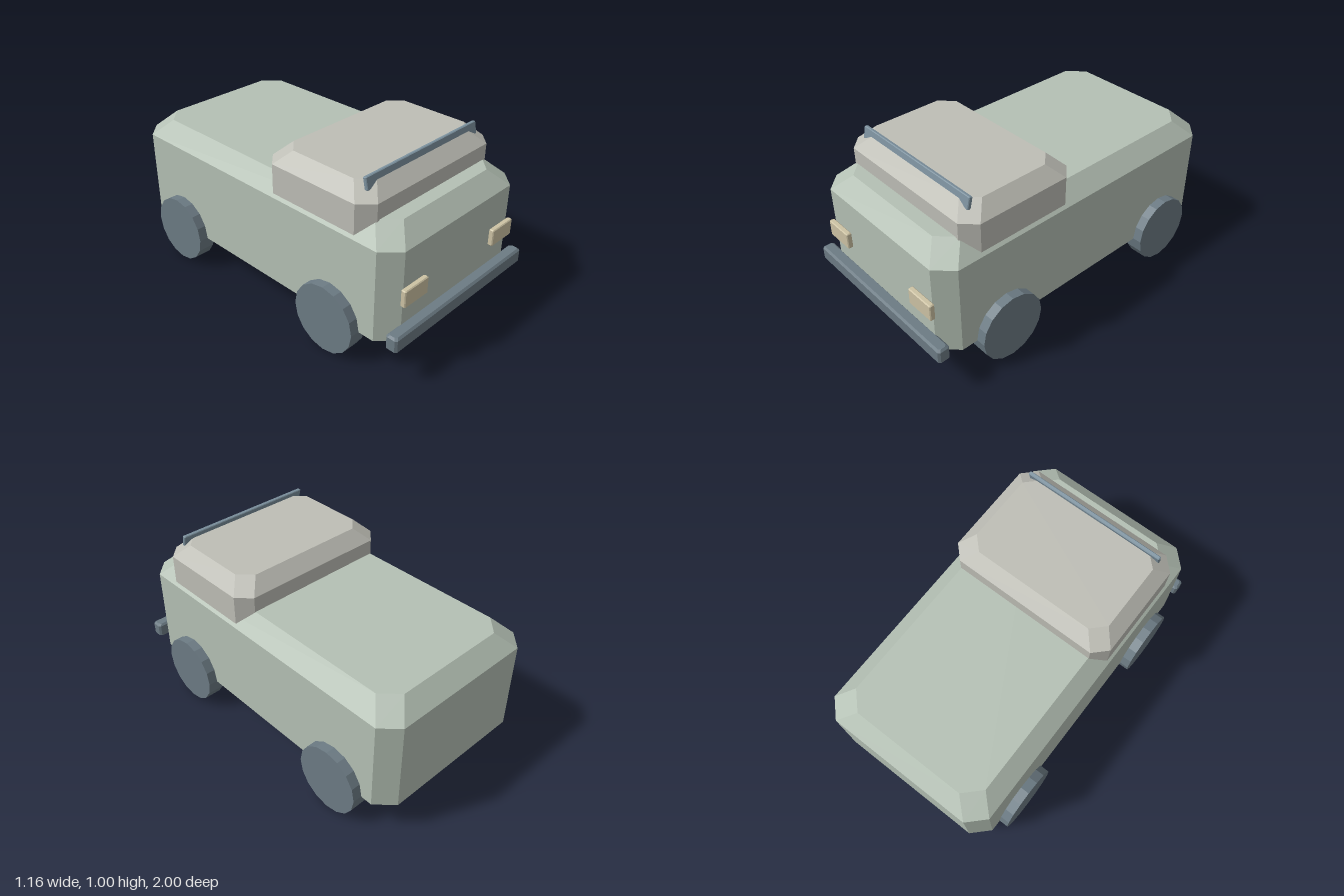
import * as THREE from 'three';

const material = (color) => new THREE.MeshStandardMaterial({ color, flatShading: true });

// Box with every edge and corner cut: four stacked octagon rings, capped.
function chamferBox(w, h, d, c) {
  const ring = (hw, hd, y) => [
    [hw, y, hd - c], [hw, y, c - hd], [hw - c, y, -hd], [c - hw, y, -hd],
    [-hw, y, c - hd], [-hw, y, hd - c], [c - hw, y, hd], [hw - c, y, hd],
  ];
  const x = w / 2, y = h / 2, z = d / 2;
  const points = [
    ...ring(x - c, z - c, -y), ...ring(x, z, c - y),
    ...ring(x, z, y - c), ...ring(x - c, z - c, y),
  ].flat();
  const index = [];
  for (let r = 0; r < 3; r++) {
    for (let j = 0; j < 8; j++) {
      const a = r * 8 + j, b = r * 8 + (j + 1) % 8;
      index.push(a, b, b + 8, a, b + 8, a + 8);
    }
  }
  for (let j = 1; j < 7; j++) index.push(0, j + 1, j, 24, 24 + j, 25 + j);
  const indexed = new THREE.BufferGeometry();
  indexed.setAttribute('position', new THREE.Float32BufferAttribute(points, 3));
  indexed.setIndex(index);
  const geometry = indexed.toNonIndexed();
  geometry.computeVertexNormals();
  return geometry;
}

export function createModel() {
  const model = new THREE.Group();
  model.name = 'van';
  const bodyMat = material(0xb4c0b4);
  const cabMat = material(0xbebeb6);
  const darkMat = material(0x6c7b84);
  const barMat = material(0x7c919e);
  const lampMat = material(0xcdc3a4);

  const add = (name, geometry, mat, x, y, z) => {
    const mesh = new THREE.Mesh(geometry, mat);
    mesh.name = name;
    mesh.position.set(x, y, z);
    model.add(mesh);
    return mesh;
  };

  // Main hull and the raised cab sunk into it
  add('body', chamferBox(1.05, 0.71, 1.94, 0.094), bodyMat, 0, 0.455, -0.03);
  add('cab', chamferBox(1.02, 0.4, 0.708, 0.076), cabMat, 0, 0.774, 0.415);

  // Tilted bar across the front of the roof
  const bar = add('roofBar', chamferBox(0.864, 0.07, 0.022, 0.004), barMat, 0, 0.969, 0.686);
  bar.rotation.x = -0.22;

  // Front bumper
  add('bumper', chamferBox(1.074, 0.09, 0.07, 0.011), darkMat, 0, 0.251, 0.965);

  // Headlights and wheels, mirrored
  const lampGeo = chamferBox(0.176, 0.098, 0.03, 0.005);
  const wheelGeo = new THREE.CylinderGeometry(0.197, 0.197, 0.1, 16).rotateZ(Math.PI / 2);
  for (const [side, s] of [['left', 1], ['right', -1]]) {
    add(side + 'Headlight', lampGeo, lampMat, s * 0.362, 0.466, 0.955);
    add(side + 'FrontWheel', wheelGeo, darkMat, s * 0.529, 0.197, 0.556);
    add(side + 'RearWheel', wheelGeo, darkMat, s * 0.529, 0.197, -0.642);
  }
  return model;
}
